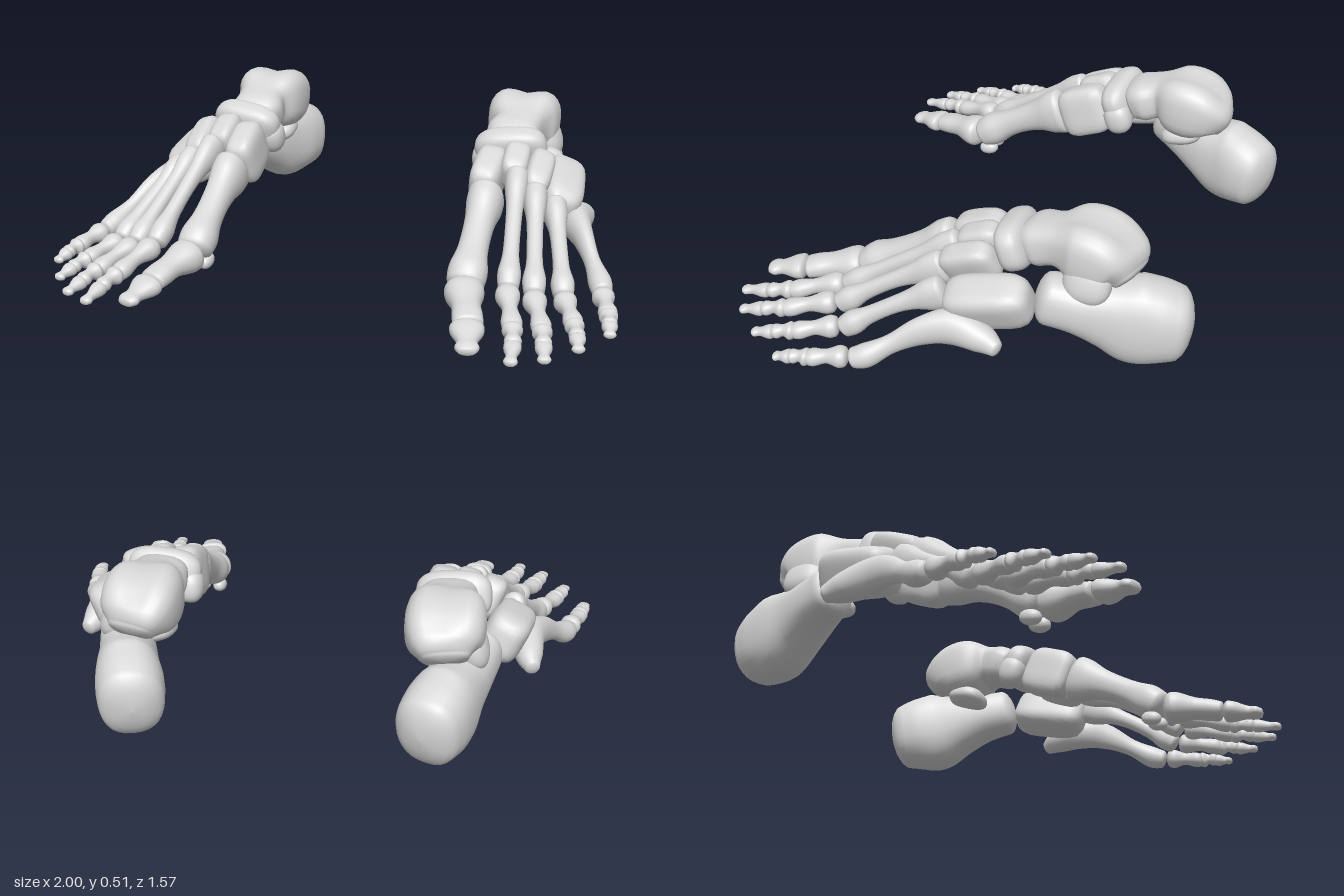
import * as THREE from 'three';
import { mergeVertices } from 'three/addons/utils/BufferGeometryUtils.js';

const V = (x, y, z) => new THREE.Vector3(x, y, z);
const smooth = THREE.MathUtils.smoothstep;
const bone = new THREE.MeshStandardMaterial({ color: 0xd8d8d8 });
bone.name = 'bone grey';

// Cubic interpolation through a list of number rows
function sample(rows, t) {
  const f = t * (rows.length - 1), i = Math.min(Math.floor(f), rows.length - 2), u = f - i;
  const at = k => rows[Math.max(0, Math.min(rows.length - 1, k))];
  const [a, b, c, d] = [at(i - 1), at(i), at(i + 1), at(i + 2)];
  return b.map((_, k) => b[k] + 0.5 * u * (c[k] - a[k] +
    u * (2 * a[k] - 5 * b[k] + 4 * c[k] - d[k] + u * (3 * (b[k] - c[k]) + d[k] - a[k]))));
}

// Loft through sections [x, y, z, rx, ry] with domed ends
function loft(sections, { square = 1, cap = 0.3, warp } = {}) {
  const n = 28, steps = (sections.length - 1) * 6, rings = [];
  for (let i = 0; i <= steps; i++) {
    const t = i / steps, s = sample(sections, t);
    const p0 = sample(sections, Math.max(0, t - 0.01)), p1 = sample(sections, Math.min(1, t + 0.01));
    const dir = V(p1[0] - p0[0], p1[1] - p0[1], p1[2] - p0[2]).normalize();
    rings.push({ p: V(s[0], s[1], s[2]), dir, rx: s[3], ry: s[4] });
  }
  const dome = (r, sign) => [0.2, 0.4, 0.6, 0.8, 1].map(k => {
    const a = k * Math.PI / 2, c = Math.cos(a);
    const out = sign * Math.sin(a) * cap * Math.min(r.rx, r.ry);
    return { p: r.p.clone().addScaledVector(r.dir, out), dir: r.dir, rx: r.rx * c, ry: r.ry * c };
  });
  const all = [...dome(rings[0], -1).reverse(), ...rings, ...dome(rings[steps], 1)];
  const pow = c => Math.sign(c) * Math.abs(c) ** square;
  const pos = [], index = [];
  all.forEach((r, i) => {
    const side = V(0, 1, 0).cross(r.dir).normalize(), up = r.dir.clone().cross(side);
    for (let j = 0; j < n; j++) {
      const a = j / n * Math.PI * 2;
      const q = r.p.clone().addScaledVector(side, pow(Math.cos(a)) * r.rx)
        .addScaledVector(up, pow(Math.sin(a)) * r.ry);
      if (warp) warp(q);
      pos.push(q.x, q.y, q.z);
      if (i === all.length - 1) continue;
      const k = (j + 1) % n, A = i * n + j, B = i * n + k;
      index.push(A, B, A + n, B, B + n, A + n);
    }
  });
  const g = new THREE.BufferGeometry();
  g.setAttribute('position', new THREE.Float32BufferAttribute(pos, 3));
  g.setIndex(index);
  return g;
}

// Rounded, slightly boxy bone: centre, half sizes, rotation
function block(c, h, rot = [0, 0, 0], p = 4) {
  let g = new THREE.SphereGeometry(1, 28, 20);
  g.deleteAttribute('uv');
  g.deleteAttribute('normal');
  g = mergeVertices(g);
  const a = g.attributes.position, v = V();
  for (let i = 0; i < a.count; i++) {
    v.fromBufferAttribute(a, i);
    v.divideScalar((Math.abs(v.x) ** p + Math.abs(v.y) ** p + Math.abs(v.z) ** p) ** (1 / p));
    a.setXYZ(i, v.x * h[0], v.y * h[1], v.z * h[2]);
  }
  return g.rotateX(rot[0]).rotateY(rot[1]).rotateZ(rot[2]).translate(...c);
}

// Long bone from a to b with flared ends; radii are [position, rx, ry]
function shaft(a, b, radii, bow = 0) {
  return loft(radii.map(([t, rx, ry]) => [
    a[0] + (b[0] - a[0]) * t,
    a[1] + (b[1] - a[1]) * t + bow * Math.sin(t * Math.PI),
    a[2] + (b[2] - a[2]) * t, rx, ry]), { cap: 0.5, square: 0.9 });
}

const phalanx = (a, b, r) => shaft(a, b,
  [[0, r * 0.95, r * 0.9], [0.15, r, r * 0.95], [0.5, r * 0.62, r * 0.64], [0.85, r * 0.85, r * 0.75], [1, r * 0.78, r * 0.68]], 0.004);
const toeTip = (a, b, r) => shaft(a, b,
  [[0, r, r * 0.85], [0.2, r * 0.95, r * 0.8], [0.6, r * 0.6, r * 0.55], [0.88, r * 0.8, r * 0.5], [1, r * 0.6, r * 0.4]]);

function buildFoot(side, name) {
  const foot = new THREE.Group();
  foot.name = name;
  const add = (part, g) => {
    if (side < 0) {
      g.scale(-1, 1, 1);
      const ix = g.index.array;
      for (let i = 0; i < ix.length; i += 3) [ix[i], ix[i + 1]] = [ix[i + 1], ix[i]];
    }
    g.computeVertexNormals();
    const m = new THREE.Mesh(g, bone);
    m.name = part;
    foot.add(m);
  };

  // Heel bone, slanting outward to the front, with its medial shelf
  add('heelBone', loft([
    [0.482, 0.168, -0.72, 0.108, 0.13], [0.502, 0.176, -0.665, 0.114, 0.147],
    [0.528, 0.184, -0.595, 0.108, 0.158], [0.553, 0.205, -0.51, 0.098, 0.125],
    [0.585, 0.228, -0.42, 0.09, 0.095], [0.618, 0.248, -0.335, 0.076, 0.088]], { square: 0.85, cap: 0.55 }));
  add('heelShelf', block([0.475, 0.275, -0.43], [0.07, 0.035, 0.075], [0.2, 0, -0.25], 2.6));

  // Ankle bone with a grooved dome
  add('ankleBone', loft([
    [0.515, 0.35, -0.575, 0.08, 0.05], [0.508, 0.378, -0.54, 0.118, 0.09],
    [0.505, 0.4, -0.48, 0.132, 0.118], [0.505, 0.41, -0.4, 0.126, 0.115],
    [0.508, 0.408, -0.335, 0.092, 0.078], [0.5, 0.39, -0.27, 0.098, 0.078],
    [0.495, 0.375, -0.235, 0.085, 0.068]], {
    square: 0.7, cap: 0.35,
    warp: q => {
      q.y -= 0.024 * Math.exp(-(((q.x - 0.505) / 0.055) ** 2)) * smooth(q.y, 0.42, 0.5) * (1 - smooth(q.z, -0.42, -0.3));
    } }));
  add('ankleProcess', block([0.598, 0.335, -0.46], [0.05, 0.075, 0.08], [0, 0, 0.3], 2.4));

  // Midfoot bones
  add('navicular', block([0.51, 0.37, -0.187], [0.13, 0.085, 0.055], [0.35, 0.08, 0.12], 3));
  add('navicularKnob', block([0.415, 0.325, -0.195], [0.047, 0.06, 0.052], [0.3, 0, 0], 2.4));
  add('medialCuneiform', block([0.458, 0.305, -0.05], [0.056, 0.095, 0.1], [0.38, 0, -0.1]));
  add('middleCuneiform', block([0.548, 0.352, -0.077], [0.048, 0.064, 0.078], [0.4, 0.1, -0.15]));
  add('lateralCuneiform', block([0.626, 0.316, -0.07], [0.048, 0.075, 0.1], [0.38, 0.15, -0.35]));
  add('cuboid', block([0.698, 0.24, -0.165], [0.074, 0.085, 0.145], [0.16, 0.2, -0.4]));

  // Metatarsals
  add('firstMetatarsal', shaft([0.477, 0.265, 0.06], [0.486, 0.093, 0.385],
    [[0, 0.063, 0.09], [0.12, 0.062, 0.084], [0.3, 0.053, 0.062], [0.5, 0.05, 0.052], [0.7, 0.053, 0.053], [0.88, 0.066, 0.064], [1, 0.064, 0.058]], 0.012));
  [['second', [0.572, 0.33, 0], [0.63, 0.098, 0.39]],
    ['third', [0.642, 0.285, 0.025], [0.713, 0.083, 0.375]],
    ['fourth', [0.708, 0.235, 0], [0.8, 0.062, 0.315]]].forEach(([n, a, b]) =>
    add(n + 'Metatarsal', shaft(a, b,
      [[0, 0.042, 0.06], [0.12, 0.04, 0.056], [0.3, 0.03, 0.036], [0.5, 0.027, 0.028], [0.75, 0.028, 0.03], [0.9, 0.039, 0.041], [1, 0.035, 0.037]], 0.016)));
  add('fifthMetatarsal', loft([
    [0.793, 0.138, -0.228, 0.027, 0.03], [0.778, 0.152, -0.17, 0.048, 0.05],
    [0.776, 0.165, -0.07, 0.052, 0.064], [0.815, 0.147, 0.02, 0.035, 0.052],
    [0.862, 0.1, 0.11, 0.027, 0.034], [0.9, 0.06, 0.18, 0.039, 0.042],
    [0.915, 0.047, 0.22, 0.035, 0.036]], { cap: 0.5 }));

  // Big toe with the two small bones under its joint
  add('bigToeBase', shaft([0.492, 0.078, 0.43], [0.546, 0.052, 0.6],
    [[0, 0.066, 0.057], [0.15, 0.064, 0.056], [0.5, 0.048, 0.04], [0.8, 0.05, 0.038], [1, 0.05, 0.034]], 0.004));
  add('bigToeTip', shaft([0.55, 0.047, 0.63], [0.578, 0.028, 0.745],
    [[0, 0.056, 0.036], [0.2, 0.053, 0.034], [0.6, 0.033, 0.023], [0.85, 0.039, 0.021], [1, 0.03, 0.016]]));
  [0.455, 0.518].forEach(x => add('sesamoid', block([x, 0.037, 0.365], [0.026, 0.025, 0.038], [0.2, 0, 0], 2.2)));

  // Lesser toes: joint points from knuckle to tip, then thickness
  [['second', [[0.634, 0.09, 0.425], [0.685, 0.05, 0.585], [0.705, 0.036, 0.668], [0.718, 0.02, 0.77]], 0.04],
    ['third', [[0.72, 0.075, 0.412], [0.775, 0.043, 0.56], [0.795, 0.031, 0.638], [0.813, 0.018, 0.72]], 0.039],
    ['fourth', [[0.81, 0.056, 0.352], [0.862, 0.036, 0.475], [0.884, 0.028, 0.543], [0.901, 0.017, 0.617]], 0.038],
    ['little', [[0.922, 0.044, 0.255], [0.956, 0.031, 0.365], [0.969, 0.026, 0.425], [0.979, 0.016, 0.485]], 0.037],
  ].forEach(([n, pts, r]) => {
    const along = (a, b, t) => a.map((v, k) => v + (b[k] - v) * t);
    for (let i = 0; i < 3; i++) {
      const a = along(pts[i], pts[i + 1], i ? 0.14 : 0);
      const part = ['Base', 'Middle', 'Tip'][i];
      add(n + 'Toe' + part, (i === 2 ? toeTip : phalanx)(a, pts[i + 1], r * [1, 0.82, 0.7][i]));
    }
  });
  return foot;
}

export function createModel() {
  const model = new THREE.Group();
  model.name = 'footSkeletons';
  model.add(buildFoot(1, 'leftFoot'), buildFoot(-1, 'rightFoot'));
  return model;
}
